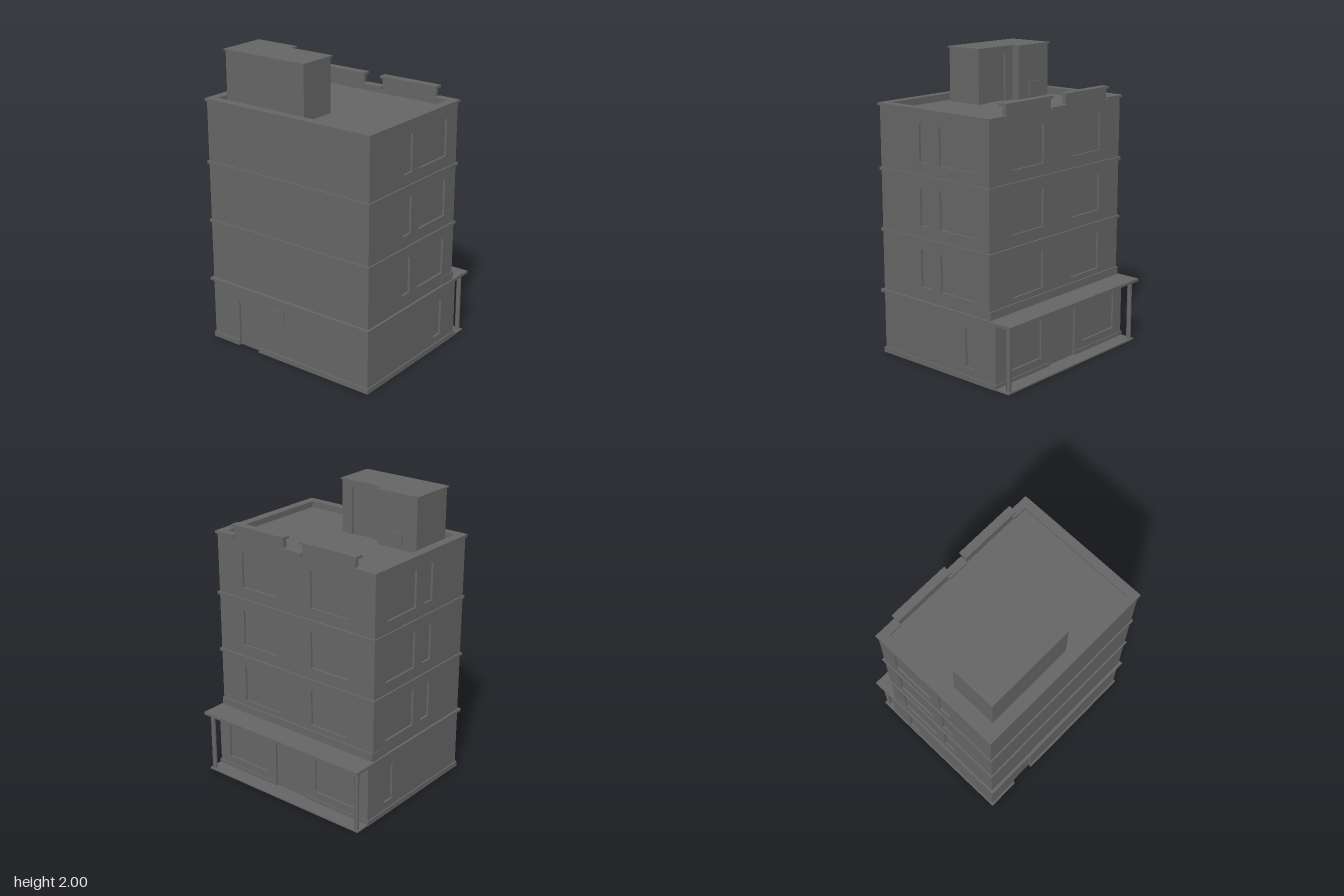
import * as THREE from 'three';

const material = new THREE.MeshStandardMaterial({ color: 0x666666, side: THREE.DoubleSide, flatShading: true });
const RECESS = 0.014;

function add(parent, name, geometry) {
  const mesh = new THREE.Mesh(geometry, material);
  mesh.name = name;
  parent.add(mesh);
  return mesh;
}

// Box given by its limits on each axis
function block(parent, name, [x0, x1], [y0, y1], [z0, z1]) {
  const mesh = add(parent, name, new THREE.BoxGeometry(x1 - x0, y1 - y0, z1 - z0));
  mesh.position.set((x0 + x1) / 2, (y0 + y1) / 2, (z0 + z1) / 2);
}

// Upright wall with recessed windows and doors; openings are [x0, x1, y0, y1].
// An opening that starts at the wall's foot is cut as a door notch.
function wall(parent, name, [x0, x1], [y0, y1], openings = []) {
  const group = new THREE.Group();
  group.name = name;
  const shape = new THREE.Shape().moveTo(x0, y0);
  for (const [a, b, c, d] of openings.filter((o) => o[2] <= y0)) {
    shape.lineTo(a, c).lineTo(a, d).lineTo(b, d).lineTo(b, c);
  }
  shape.lineTo(x1, y0).lineTo(x1, y1).lineTo(x0, y1).closePath();
  for (const [a, b, c, d] of openings.filter((o) => o[2] > y0)) {
    shape.holes.push(new THREE.Path().moveTo(a, c).lineTo(a, d).lineTo(b, d).lineTo(b, c).closePath());
  }
  const geometry = new THREE.ExtrudeGeometry(shape, { depth: RECESS, bevelEnabled: false });
  add(group, name + 'Surface', geometry.translate(0, 0, -RECESS));
  for (const [a, b, c, d] of openings) {
    block(group, c <= y0 ? 'door' : 'window', [a, b], [c, d], [-RECESS - 0.01, -RECESS]);
  }
  parent.add(group);
  return group;
}

function place(group, x, z, turn) {
  group.position.set(x, 0, z);
  group.rotation.y = turn;
}

// Span on the left side, or its mirror image on the right
const span = (s, a, b) => (s > 0 ? [a, b] : [-b, -a]);

export function createModel() {
  const model = new THREE.Group();
  model.name = 'building';
  const W = 0.64, FRONT = 0.55, BACK = -0.39, GROUND_BACK = -0.438;
  const H = Math.PI / 2;

  // Ground floor walls, open underneath
  const low = [0, 0.43];
  place(wall(model, 'groundFrontWall', [-W, W], low, [[-0.42, -0.25, 0, 0.322]]), 0, FRONT, 0);
  place(wall(model, 'groundBackWall', [-W, W], low, [
    [-0.13, 0.13, 0, 0.337], [-0.55, -0.21, 0.085, 0.337], [0.21, 0.55, 0.085, 0.337],
  ]), 0, GROUND_BACK, Math.PI);
  place(wall(model, 'groundLeftWall', [-FRONT, -GROUND_BACK], low, [[0.185, 0.27, 0.085, 0.337]]), W, 0, H);
  place(wall(model, 'groundRightWall', [GROUND_BACK, FRONT], low, [[-0.27, -0.185, 0.085, 0.337]]), -W, 0, -H);
  block(model, 'wallPanel', [-0.12, -0.03], [0.27, 0.36], [0.528, 0.558]);

  // Plinth, broken at the doors
  const foot = [0, 0.035];
  for (const [a, b] of [[-0.645, -0.42], [-0.25, 0.645]]) block(model, 'frontPlinth', [a, b], foot, [0.538, 0.56]);
  for (const s of [-1, 1]) {
    block(model, 'backPlinth', span(s, 0.13, 0.645), foot, [-0.445, -0.424]);
    block(model, 'sidePlinth', span(s, 0.626, 0.648), foot, [-0.445, 0.56]);
  }

  // Porch at the back: floor, posts and the slab that also roofs the ground floor
  block(model, 'porchFloor', [-0.645, 0.645], [0, 0.01], [-0.547, -0.43]);
  for (const x of [-0.618, 0.618]) {
    const post = add(model, 'porchPost', new THREE.CylinderGeometry(0.016, 0.016, 0.42, 12));
    post.position.set(x, 0.217, -0.525);
  }
  block(model, 'canopySlab', [-0.655, 0.655], [0.422, 0.441], [-0.57, 0.57]);
  block(model, 'canopyUpstand', [-0.644, 0.644], [0.44, 0.495], [-0.4, -0.27]);

  // Upper walls with three rows of windows
  const high = [0.43, 1.67];
  const rows = [0.53, 0.935, 1.34];
  const windows = (spans) => rows.flatMap((y) => spans.map(([a, b]) => [a, b, y, y + 0.248]));
  place(wall(model, 'upperFrontWall', [-W, W], high), 0, FRONT, 0);
  place(wall(model, 'upperBackWall', [-W, W], high, windows([[-0.43, -0.14], [0.14, 0.43]])), 0, BACK, Math.PI);
  place(wall(model, 'upperLeftWall', [-FRONT, -BACK], high, windows([[-0.198, -0.11], [-0.025, 0.27]])), W, 0, H);
  place(wall(model, 'upperRightWall', [BACK, FRONT], high, windows([[-0.27, 0.025], [0.11, 0.198]])), -W, 0, -H);

  // Storey bands
  for (const y of [0.84, 1.245]) block(model, 'storeyBand', [-0.65, 0.65], [y, y + 0.019], [-0.402, 0.56]);

  // Flat roof and parapet
  block(model, 'roofDeck', [-0.63, 0.63], [1.62, 1.635], [-0.38, 0.54]);
  const rise = [1.63, 1.67], cap = [1.664, 1.682];
  block(model, 'frontParapet', [-0.63, 0.63], rise, [0.51, 0.545]);
  block(model, 'backParapet', [-0.63, 0.63], rise, [-0.385, -0.362]);
  block(model, 'frontCoping', [-0.65, 0.65], cap, [0.5, 0.56]);
  block(model, 'backMiddleCoping', [-0.075, 0.075], cap, [-0.402, -0.345]);
  for (const s of [-1, 1]) {
    block(model, 'sideParapet', span(s, 0.602, 0.635), rise, [-0.385, 0.545]);
    block(model, 'sideCoping', span(s, 0.588, 0.65), cap, [-0.402, 0.56]);
    block(model, 'backCornerCoping', span(s, 0.49, 0.65), cap, [-0.402, -0.345]);
    block(model, 'raisedParapet', span(s, 0.075, 0.49), [1.67, 1.742], [BACK, -0.362]);
    block(model, 'raisedCoping', span(s, 0.065, 0.504), [1.738, 1.754], [-0.402, -0.345]);
  }

  // Rooftop stair house with a wing on one side
  const house = new THREE.Group();
  house.name = 'stairHouse';
  model.add(house);
  const tall = [1.635, 1.992];
  place(wall(house, 'stairHouseFront', [-0.54, 0.088], tall), 0, 0.468, 0);
  place(wall(house, 'stairHouseBack', [-0.088, 0.242], tall, [[-0.01, 0.17, 1.635, 1.95]]), 0, 0.207, Math.PI);
  place(wall(house, 'stairHouseLeft', [-0.468, -0.207], tall), 0.088, 0, H);
  place(wall(house, 'stairHouseRight', [0.152, 0.468], tall), -0.54, 0, -H);
  place(wall(house, 'wingBack', [0.242, 0.54], tall), 0, 0.152, Math.PI);
  place(wall(house, 'wingSide', [-0.207, -0.152], tall), -0.242, 0, H);
  block(house, 'hatch', [-0.434, -0.344], [1.65, 1.75], [0.144, 0.155]);
  block(house, 'stairHouseRoof', [-0.55, 0.097], [1.99, 2], [0.197, 0.477]);
  block(house, 'wingRoof', [-0.55, -0.233], [1.99, 2], [0.142, 0.2]);

  return model;
}
